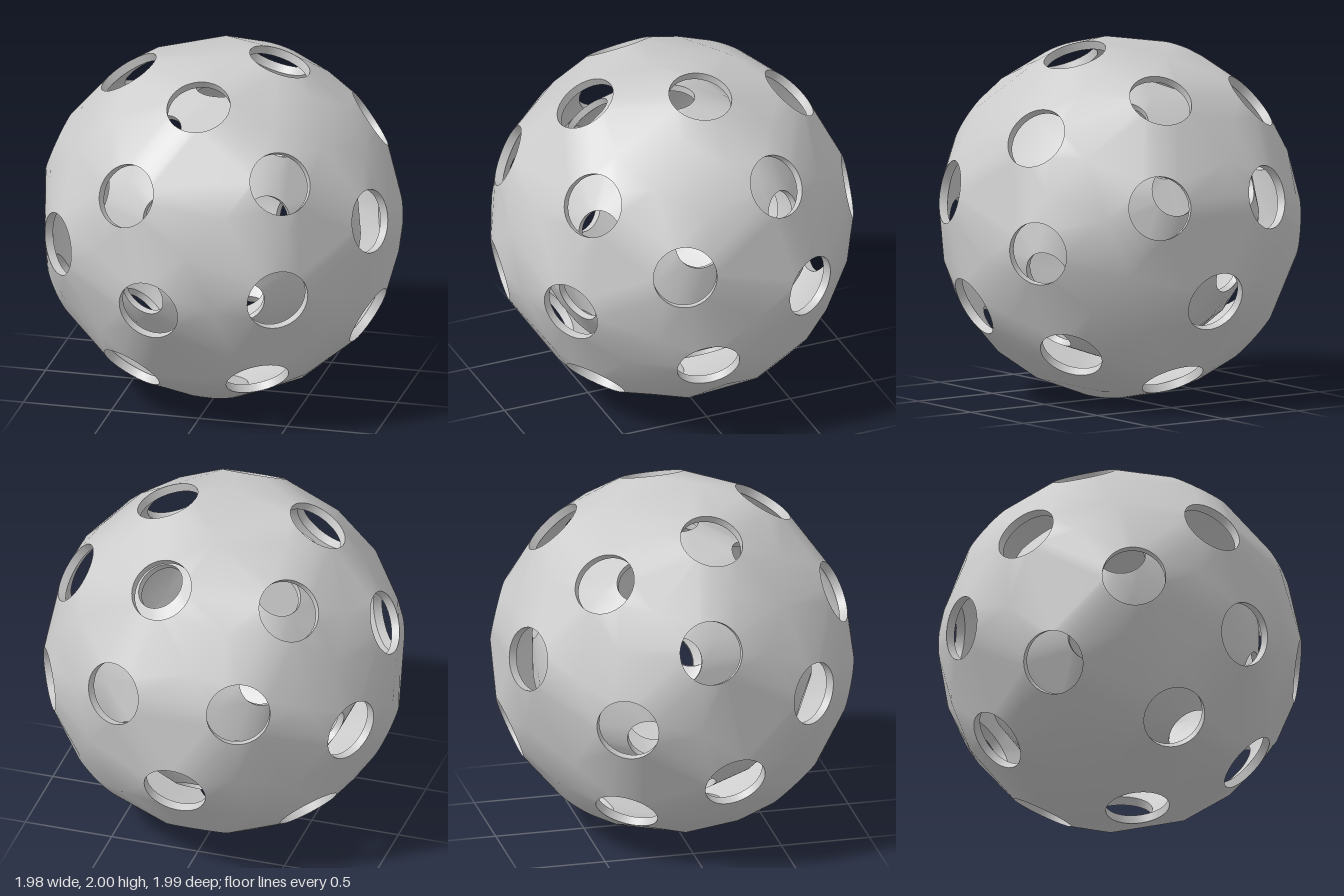
import * as THREE from 'three';
import { ConvexGeometry } from 'three/addons/geometries/ConvexGeometry.js';
import { mergeVertices } from 'three/addons/utils/BufferGeometryUtils.js';

const SEGMENTS = 40;
const HOLE_RADIUS = 0.176;
const OUTER = 0.99;      // distance of the outer rims' planes from the centre
const THICKNESS = 0.05;
const FILL_POINTS = 130; // points spread over the sphere to round the skin between holes

// Directions of the holes: those with a mirrored twin, then the single ones
const paired = [
  [0.365, 0.19, -0.91], [0.36, -0.70, 0.61], [0.88, -0.445, 0.15],
  [0.88, -0.075, -0.465], [0.61, -0.67, -0.405],
];
const single = [
  [0, 0.85, 0.52], [-0.33, 0.41, 0.84], [0.51, 0.505, 0.69], [-0.775, 0.0, 0.62],
  [-0.175, -0.21, 0.95], [0.53, -0.13, 0.83], [0.925, 0.18, 0.31], [-0.505, 0.855, 0.105],
  [0.325, 0.94, -0.037], [0.777, 0.545, -0.303], [0.17, 0.75, -0.645], [-0.535, 0.67, -0.515],
  [-0.925, 0.36, 0], [0, -0.36, -0.92], [0, -0.84, -0.51], [0, -0.98, 0.12],
];
const directions = [
  ...paired,
  ...paired.map(([x, y, z]) => [-x, y, z]),
  ...single,
].map((d) => new THREE.Vector3(...d).normalize());

const turnTo = (dir) => new THREE.Quaternion().setFromUnitVectors(new THREE.Vector3(0, 1, 0), dir);

// Skin stretched over all the rims and the sphere between them, left open inside each rim
function skin(distance) {
  const points = [];
  for (const dir of directions) {
    const q = turnTo(dir);
    for (let i = 0; i < SEGMENTS; i++) {
      const a = (i / SEGMENTS) * Math.PI * 2;
      points.push(new THREE.Vector3(Math.sin(a) * HOLE_RADIUS, distance, Math.cos(a) * HOLE_RADIUS).applyQuaternion(q));
    }
    points.push(dir.clone().multiplyScalar(distance + 0.001)); // cap centre, removed below
  }
  const radius = Math.hypot(distance, HOLE_RADIUS) * 0.995;
  for (let i = 0; i < FILL_POINTS; i++) {
    const polar = Math.acos(1 - (2 * i + 1) / FILL_POINTS);
    const p = new THREE.Vector3().setFromSphericalCoords(radius, polar, i * 2.39996);
    if (directions.every((d) => d.dot(p) < distance * 0.965)) points.push(p);
  }
  const pos = new ConvexGeometry(points).getAttribute('position');
  const kept = [];
  for (let i = 0; i < pos.count; i += 3) {
    const corners = [0, 1, 2].map((k) => new THREE.Vector3().fromBufferAttribute(pos, i + k));
    const coversHole = directions.some((d) => corners.every((v) => d.dot(v) > distance - 0.0005));
    if (!coversHole) corners.forEach((v) => kept.push(v.x, v.y, v.z));
  }
  const raw = new THREE.BufferGeometry();
  raw.setAttribute('position', new THREE.Float32BufferAttribute(kept, 3));
  const geometry = mergeVertices(raw, 1e-5);
  geometry.computeVertexNormals();
  return geometry;
}

// Hollow ball centred on the origin
function perforatedBall() {
  const ball = new THREE.Group();
  const material = new THREE.MeshStandardMaterial({ color: 0xcccccc });
  const insideMaterial = new THREE.MeshStandardMaterial({ color: 0xcccccc, side: THREE.DoubleSide });
  const add = (name, geometry, mat) => {
    const mesh = new THREE.Mesh(geometry, mat);
    mesh.name = name;
    ball.add(mesh);
    return mesh;
  };

  add('outerSkin', skin(OUTER), material);
  add('innerSkin', skin(OUTER - THICKNESS), insideMaterial);

  // Short cylindrical wall through the shell at each hole
  const wall = new THREE.CylinderGeometry(HOLE_RADIUS, HOLE_RADIUS, THICKNESS, SEGMENTS, 1, true);
  directions.forEach((dir, i) => {
    const mesh = add(`holeWall${i + 1}`, wall, insideMaterial);
    mesh.quaternion.copy(turnTo(dir));
    mesh.position.copy(dir).multiplyScalar(OUTER - THICKNESS / 2);
  });
  return ball;
}

export function createModel() {
  const model = new THREE.Group();
  model.name = 'nestedBalls';

  const outerBall = perforatedBall();
  outerBall.name = 'outerBall';
  outerBall.position.y = 1;

  // Smaller copy held loose inside, tipped about the x axis
  const innerBall = outerBall.clone();
  innerBall.name = 'innerBall';
  innerBall.scale.setScalar(0.775);
  innerBall.rotation.x = -0.54;

  model.add(outerBall, innerBall);
  return model;
}
